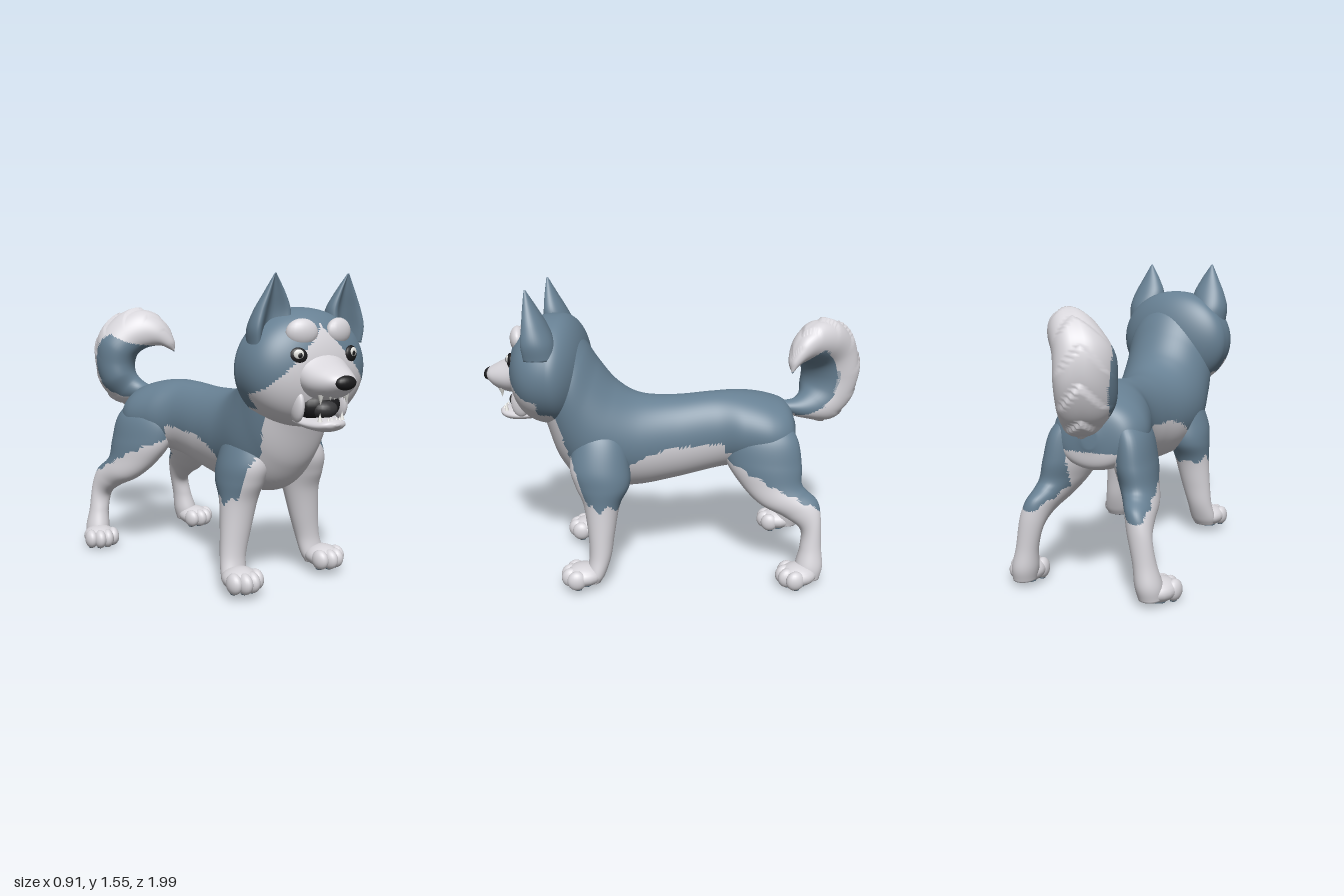
import * as THREE from 'three';
import { mergeVertices } from 'three/addons/utils/BufferGeometryUtils.js';

const material = (name, color) => Object.assign(new THREE.MeshStandardMaterial({ color }), { name });
const blue = material('blue grey fur', 0x678093);
const white = material('pale fur', 0xd7d5da);
const black = material('black', 0x1b1b1d);
const mouthGrey = material('mouth grey', 0x38383a);
const ivory = material('ivory', 0xe6e6e2);
const padSlate = material('pad slate', 0x465a69);

const V = (a) => new THREE.Vector3(...a);
const spline = (pts) => new THREE.CatmullRomCurve3(pts, false, 'catmullrom', 0.5);

// Skin through stations [endP, endQ, halfWidth]: each ring is an ellipse whose depth runs from Q to P
function loft(stations, { side = [1, 0, 0], rings = 64, seg = 44, bump = () => 1 } = {}) {
  const P = spline(stations.map((s) => V(s[0])));
  const Q = spline(stations.map((s) => V(s[1])));
  const W = spline(stations.map((s) => new THREE.Vector3(s[2], 0, 0)));
  const across = V(side).normalize();
  const pos = [], idx = [];
  for (let i = 0; i <= rings; i++) {
    const t = i / rings, p = P.getPoint(t), q = Q.getPoint(t), w = W.getPoint(t).x;
    const mid = p.clone().add(q).multiplyScalar(0.5), half = p.sub(q).multiplyScalar(0.5);
    for (let j = 0; j < seg; j++) {
      const a = (j / seg) * Math.PI * 2;
      const v = mid.clone().addScaledVector(across, w * Math.cos(a))
        .addScaledVector(half, Math.sin(a) * bump(a, t));
      pos.push(v.x, v.y, v.z);
      if (i < rings) {
        const b = i * seg + j, c = i * seg + ((j + 1) % seg);
        idx.push(b, c, b + seg, c, c + seg, b + seg);
      }
    }
  }
  for (let j = 1; j < seg - 1; j++) {
    const e = rings * seg;
    idx.push(0, j + 1, j, e, e + j, e + j + 1);
  }
  // turn the faces outward
  let volume = 0;
  const at = (k) => new THREE.Vector3().fromArray(pos, k * 3);
  for (let k = 0; k < idx.length; k += 3) volume += at(idx[k]).dot(at(idx[k + 1]).cross(at(idx[k + 2])));
  if (volume < 0) idx.reverse();
  const geo = new THREE.BufferGeometry();
  geo.setAttribute('position', new THREE.Float32BufferAttribute(pos, 3));
  geo.setIndex(idx);
  geo.computeVertexNormals();
  return geo;
}

// Sort faces into blue and pale groups by a rule on the face centre
function furMesh(name, geo, isWhite) {
  const p = geo.attributes.position, old = geo.index.array, sets = [[], []];
  for (let k = 0; k < old.length; k += 3) {
    const f = [old[k], old[k + 1], old[k + 2]];
    const mean = (get) => f.reduce((sum, i) => sum + p[get](i), 0) / 3;
    sets[isWhite(mean('getX'), mean('getY'), mean('getZ')) ? 1 : 0].push(...f);
  }
  geo.setIndex([...sets[0], ...sets[1]]);
  geo.addGroup(0, sets[0].length, 0);
  geo.addGroup(sets[0].length, sets[1].length, 1);
  const m = new THREE.Mesh(geo, [blue, white]);
  m.name = name;
  return m;
}

const ball = new THREE.SphereGeometry(1, 20, 14);
function blob(name, mat, at, radii, yaw = 0) {
  const m = new THREE.Mesh(ball, mat);
  m.name = name;
  m.position.set(...at);
  m.scale.set(...radii);
  m.rotation.y = yaw;
  return m;
}

function makePaw(name, x, y, z, yaw) {
  const g = new THREE.Group();
  g.name = name;
  g.position.set(x, y, z);
  g.rotation.y = yaw;
  g.add(blob('pawBase', white, [0, 0.06, -0.01], [0.09, 0.058, 0.1]));
  g.add(blob('heelPad', padSlate, [0, 0.005, -0.02], [0.045, 0.006, 0.035]));
  [-1.5, -0.5, 0.5, 1.5].forEach((k) => {
    const tz = 0.06 - 0.014 * k * k;
    g.add(blob('toe', white, [k * 0.043, 0.055, tz], [0.035, 0.052, 0.05]));
    g.add(blob('toePad', padSlate, [k * 0.043, 0.006, tz - 0.006], [0.015, 0.006, 0.018]));
  });
  return g;
}

function makeTorso() {
  // top y, z, bottom y, z, half width, centre x
  const s = [
    [0.80, -0.645, 0.70, -0.65, 0.04, 0], [0.90, -0.60, 0.60, -0.62, 0.185, 0],
    [0.945, -0.50, 0.575, -0.50, 0.24, 0], [0.972, -0.35, 0.575, -0.35, 0.215, 0.01],
    [0.972, -0.20, 0.555, -0.22, 0.168, 0.02], [0.957, 0, 0.505, 0, 0.182, 0.025],
    [0.97, 0.18, 0.472, 0.22, 0.22, 0.03], [1.04, 0.30, 0.485, 0.47, 0.255, 0.03],
    [1.15, 0.39, 0.62, 0.60, 0.255, 0.03], [1.25, 0.455, 0.80, 0.665, 0.25, 0.03],
    [1.33, 0.525, 0.95, 0.70, 0.22, 0.02], [1.36, 0.60, 1.10, 0.70, 0.10, 0.02],
  ].map(([ty, tz, by, bz, a, x]) => [[x, ty, tz], [x, by, bz], a]);
  return furMesh('torso', loft(s, { rings: 120, seg: 72 }), (x, y, z) => {
    if (z < -0.25) return y < 0.68;
    const belly = z < 0.28 ? 0.725 - 0.05 * z - 1.1 * Math.max(z, 0) ** 2 : 0.56;
    return y < belly || z > 0.5 + 0.26 * (y - 0.5);
  });
}

function makeFrontLeg(s) {
  const ox = 0.05;
  // y, front z, back z, half width, x
  const st = [
    [0.88, 0.47, 0.36, 0.04, 0.13], [0.79, 0.52, 0.275, 0.09, 0.155], [0.65, 0.55, 0.245, 0.115, 0.185],
    [0.55, 0.525, 0.245, 0.11, 0.203], [0.45, 0.485, 0.295, 0.097, 0.215], [0.30, 0.465, 0.325, 0.082, 0.238],
    [0.18, 0.46, 0.345, 0.07, 0.26], [0.09, 0.475, 0.375, 0.07, 0.275], [0.045, 0.47, 0.40, 0.055, 0.28],
  ].map(([y, f, b, a, x]) => [[s * x + ox, y, f], [s * x + ox, y, b], a]);
  const g = new THREE.Group();
  g.name = s > 0 ? 'leftFrontLeg' : 'rightFrontLeg';
  g.add(furMesh('frontLimb', loft(st), (x, y, z) => {
    const out = s * (x - ox);
    return y < 0.455 + 0.02 * Math.sin(z * 75) || z > 0.455 + 0.33 * (y - 0.45) || (out < 0.15 && z > 0.36);
  }));
  g.add(makePaw('frontPaw', s * 0.288 + ox, 0.025, 0.5, s * 0.08));
  return g;
}

function makeHindLeg(s) {
  // front x, y, z, back x, y, z, half width
  const st = [
    [0.07, 0.88, -0.42, 0.10, 0.88, -0.55, 0.05], [0.10, 0.78, -0.27, 0.175, 0.76, -0.63, 0.095],
    [0.125, 0.64, -0.26, 0.2, 0.62, -0.655, 0.11], [0.17, 0.52, -0.33, 0.22, 0.53, -0.655, 0.098],
    [0.225, 0.42, -0.43, 0.235, 0.49, -0.68, 0.085], [0.26, 0.355, -0.56, 0.26, 0.44, -0.735, 0.068],
    [0.28, 0.29, -0.645, 0.28, 0.36, -0.752, 0.06], [0.305, 0.20, -0.645, 0.305, 0.20, -0.757, 0.056],
    [0.322, 0.10, -0.62, 0.322, 0.10, -0.765, 0.065], [0.33, 0.035, -0.62, 0.33, 0.03, -0.75, 0.058],
  ].map(([fx, fy, fz, bx, by, bz, a]) => [[s * fx, fy, fz], [s * bx, by, bz], a]);
  const g = new THREE.Group();
  g.name = s > 0 ? 'leftHindLeg' : 'rightHindLeg';
  g.add(furMesh('hindLimb', loft(st, { rings: 84 }), (x, y, z) =>
    y < 0.66 + (z + 0.24) * 0.51 + 0.008 * Math.sin(z * 70) || (s * x < 0.13 && y < 0.72)));
  g.add(makePaw('hindPaw', s * 0.348, 0, -0.622, s * 0.2));
  return g;
}

function makeTail() {
  // outer edge, inner edge, half width
  const st = [
    [[0, 0.85, -0.56], [0, 0.91, -0.55], 0.05], [[0, 0.815, -0.68], [0, 0.92, -0.64], 0.06],
    [[-0.05, 0.79, -0.82], [-0.02, 0.95, -0.69], 0.095], [[-0.10, 0.88, -0.92], [-0.05, 0.99, -0.705], 0.13],
    [[-0.12, 1.05, -0.972], [-0.05, 1.04, -0.71], 0.14], [[-0.11, 1.22, -0.94], [-0.03, 1.09, -0.70], 0.14],
    [[-0.03, 1.33, -0.85], [0.02, 1.125, -0.68], 0.125], [[0.05, 1.355, -0.74], [0.07, 1.14, -0.65], 0.10],
    [[0.12, 1.29, -0.64], [0.11, 1.14, -0.625], 0.07], [[0.16, 1.18, -0.585], [0.14, 1.125, -0.605], 0.035],
    [[0.17, 1.11, -0.585], [0.17, 1.105, -0.59], 0.003],
  ];
  // overlapping fur tufts along the outer edge
  const bump = (a, t) => (Math.sin(a) > 0 && t > 0.15
    ? 1 + 0.16 * Math.sin(a) * (((t * 10 + 0.9 * Math.abs(Math.cos(a))) % 1) - 0.4) : 1);
  return furMesh('tail', loft(st, { side: [0.85, 0, -0.5], rings: 170, bump }), (x, y, z) => {
    if (z > -0.64 && y < 1) return y < 0.85;
    return Math.hypot(z + 0.66, y - 1.04) > 0.2 || y > 1.21 - Math.max(0, z + 0.75) * 0.6;
  });
}

function makeHead() {
  const g = new THREE.Group();
  g.name = 'head';
  g.position.set(0.02, 0, 0.58);
  g.rotation.y = -0.17;
  // skull: round, with a flattened face and a shallow back
  let skull = new THREE.SphereGeometry(1, 110, 80);
  const p = skull.attributes.position;
  for (let i = 0; i < p.count; i++) {
    const z = p.getZ(i);
    p.setXYZ(i, p.getX(i) * 0.33, 1.11 + p.getY(i) * 0.282, 0.01 + (z > 0 ? 0.25 * z ** 0.7 : 0.15 * z));
  }
  skull.deleteAttribute('uv');
  skull.deleteAttribute('normal');
  skull = mergeVertices(skull, 1e-5);
  skull.computeVertexNormals();
  g.add(furMesh('skull', skull, (x, y, z) => {
    const ax = Math.abs(x);
    return (z > 0.07 && (y < 1.31 - ax || ax < (1.33 - y) * 0.4)) || (z > 0 && y < 0.93);
  }));
  // muzzle and open lower jaw: z, top y, bottom y, half width
  const snout = (name, rows) => {
    const stations = rows.map(([z, t, b, a]) => [[0, t, z], [0, b, z], a]);
    const m = new THREE.Mesh(loft(stations, { rings: 36 }), white);
    m.name = name;
    g.add(m);
  };
  snout('muzzle', [[0.10, 1.28, 1.0, 0.12], [0.20, 1.225, 0.98, 0.14], [0.27, 1.17, 0.98, 0.13],
    [0.34, 1.135, 0.998, 0.098], [0.385, 1.11, 1.03, 0.065], [0.41, 1.09, 1.06, 0.02]]);
  snout('lowerJaw', [[0.08, 0.93, 0.86, 0.12], [0.20, 0.905, 0.84, 0.11], [0.28, 0.90, 0.835, 0.088],
    [0.325, 0.895, 0.85, 0.058], [0.345, 0.88, 0.87, 0.012]]);
  g.add(blob('nose', black, [0, 1.07, 0.393], [0.055, 0.033, 0.03]));
  g.add(blob('mouthInside', black, [0, 0.948, 0.2], [0.112, 0.072, 0.07]));
  g.add(blob('tongue', mouthGrey, [0, 0.935, 0.235], [0.068, 0.045, 0.06]));

  const tooth = (x, y, z, r, h, down) => {
    const m = new THREE.Mesh(new THREE.ConeGeometry(r, h, 10), ivory);
    m.name = 'tooth';
    m.position.set(x, y, z);
    if (down) m.rotation.x = Math.PI;
    g.add(m);
  };
  for (const s of [1, -1]) {
    tooth(s * 0.072, 0.987, 0.31, 0.014, 0.045, true);
    tooth(s * 0.062, 0.908, 0.295, 0.012, 0.04, false);
    for (const k of [0, 1]) {
      tooth(s * (0.014 + k * 0.024), 0.998, 0.335, 0.01, 0.022, true);
      tooth(s * (0.012 + k * 0.02), 0.9, 0.317, 0.008, 0.018, false);
    }
    g.add(blob('lipCorner', white, [s * 0.122, 0.955, 0.2], [0.026, 0.078, 0.05]));
    // eyes and brow spots
    g.add(blob('eye', black, [s * 0.148 + 0.008, 1.18, 0.226], [0.045, 0.04, 0.02], s * 0.35));
    g.add(blob('iris', ivory, [s * 0.153 + 0.008, 1.19, 0.241], [0.024, 0.022, 0.008], s * 0.35));
    g.add(blob('pupil', black, [s * 0.15 + 0.008, 1.186, 0.247], [0.012, 0.013, 0.005], s * 0.35));
    g.add(blob('browSpot', white, [s * 0.102, 1.283, 0.2], [0.077, 0.064, 0.04], s * 0.25));
    // ears, hollow at the front: y, centre x, half width, front z, back z
    const ear = [[1.22, 0.225, 0.085, 0.16, -0.03], [1.30, 0.215, 0.102, 0.17, -0.02], [1.38, 0.202, 0.092, 0.155, 0.015],
      [1.46, 0.20, 0.054, 0.14, 0.06], [1.548, 0.205, 0.003, 0.12, 0.11]]
      .map(([y, x, a, f, b]) => [[s * x + 0.016, y, f], [s * x + 0.016, y, b], a]);
    const m = new THREE.Mesh(loft(ear, {
      rings: 36, bump: (a) => (Math.sin(a) > 0 ? 1 - 1.1 * Math.sin(a) ** 4 : 1),
    }), blue);
    m.name = s > 0 ? 'leftEar' : 'rightEar';
    g.add(m);
  }
  return g;
}

export function createModel() {
  const dog = new THREE.Group();
  dog.name = 'dog';
  dog.add(makeTorso(), makeTail(), makeHead());
  for (const s of [1, -1]) dog.add(makeFrontLeg(s), makeHindLeg(s));
  return dog;
}
